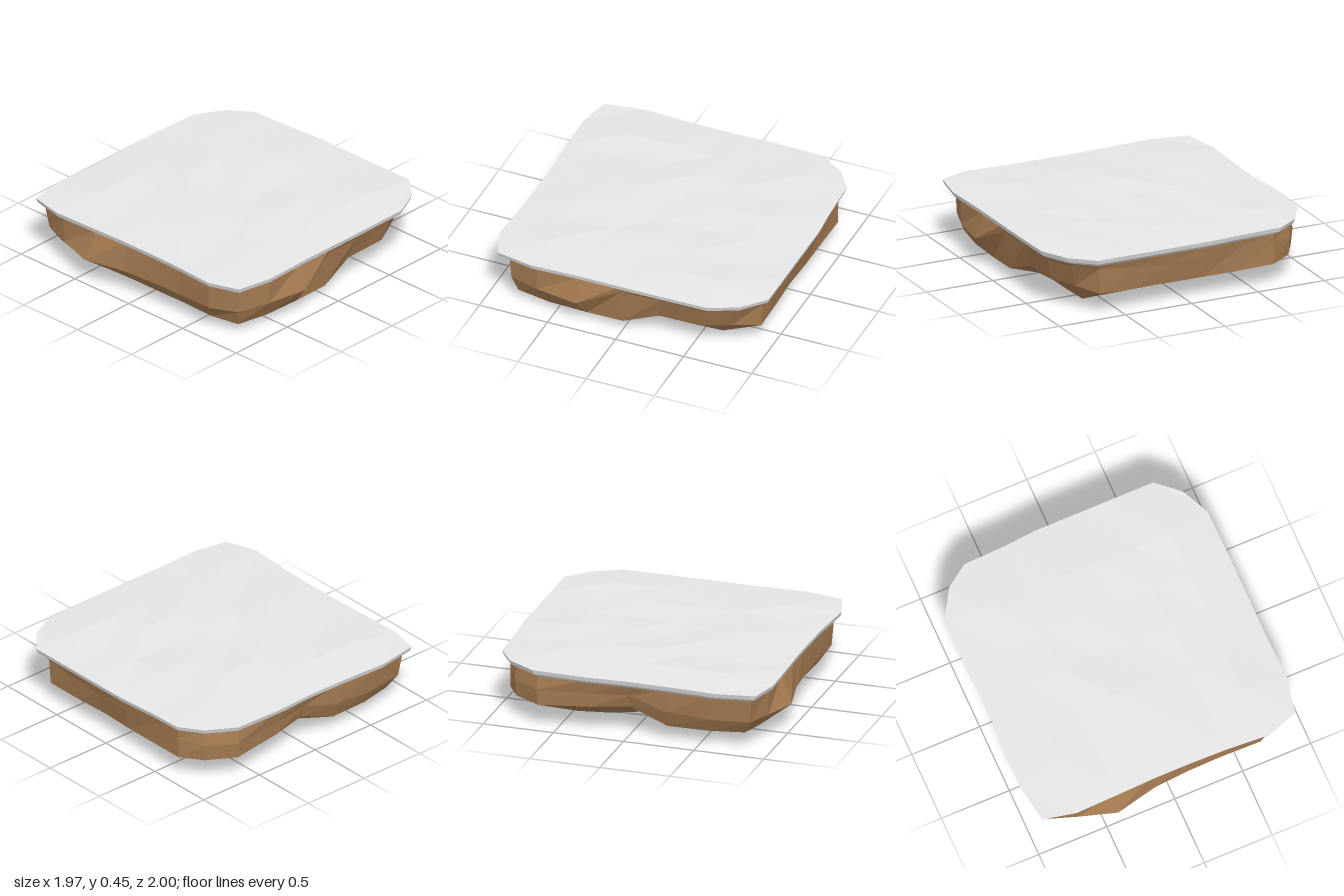
import * as THREE from 'three';

// Plan outline, clockwise from above: back (8), right (5), front (8), left (5)
const OUTLINE = [
  [-0.85, -0.86], [-0.69, -0.97], [-0.4, -0.98], [-0.15, -1], [0.14, -1], [0.42, -1], [0.71, -1], [0.87, -0.86],
  [0.965, -0.66], [0.97, -0.3], [0.97, 0], [0.97, 0.3], [0.98, 0.64],
  [0.93, 0.9], [0.71, 0.975], [0.4, 0.955], [0.14, 0.95], [-0.12, 0.95], [-0.4, 0.96], [-0.71, 0.97], [-0.94, 0.92],
  [-0.985, 0.64], [-0.97, 0.3], [-0.965, 0], [-0.98, -0.3], [-0.97, -0.66],
];
const N = OUTLINE.length, COLS = 8, ROWS = 7;
const XS = [-0.97, -0.66, -0.4, -0.13, 0.14, 0.41, 0.67, 0.97];
const ZS = [-0.98, -0.62, -0.31, 0, 0.3, 0.61, 0.95];

// Ring of points: scale and height may be numbers or one value per outline point
const at = (v, i) => (Array.isArray(v) ? v[i] : v);
const ring = (scale, y) => OUTLINE.map(([x, z], i) => [x * at(scale, i), at(y, i), z * at(scale, i)]);

// Outline index for a border cell of the grid, or -1 inside
function borderIndex(c, r) {
  if (r === 0) return c;
  if (r === ROWS - 1) return 13 + (COLS - 1 - c);
  if (c === COLS - 1) return 7 + r;
  if (c === 0) return 20 + (ROWS - 1 - r);
  return -1;
}

// Grid cap that shares its border with a ring
function cap(out, edge, scale, height, up) {
  const p = (c, r) => {
    const b = borderIndex(c, r);
    return b >= 0 ? edge[b] : [XS[c] * scale, height(c, r), ZS[r] * scale];
  };
  for (let c = 0; c < COLS - 1; c++) {
    for (let r = 0; r < ROWS - 1; r++) {
      const q = [p(c, r), p(c, r + 1), p(c + 1, r + 1), p(c + 1, r)];
      if (!up) q.reverse();
      out.push(...q[0], ...q[1], ...q[2], ...q[0], ...q[2], ...q[3]);
    }
  }
}

// Side walls between successive rings, listed from top to bottom
function walls(out, rings) {
  for (let k = 0; k < rings.length - 1; k++) {
    const u = rings[k], l = rings[k + 1];
    for (let i = 0; i < N; i++) {
      const j = (i + 1) % N;
      out.push(...u[i], ...u[j], ...l[j], ...u[i], ...l[j], ...l[i]);
    }
  }
}

function mesh(name, positions, material) {
  const g = new THREE.BufferGeometry();
  g.setAttribute('position', new THREE.Float32BufferAttribute(positions, 3));
  g.computeVertexNormals();
  const m = new THREE.Mesh(g, material);
  m.name = name;
  return m;
}

export function createModel() {
  const group = new THREE.Group();
  group.name = 'groundTile';
  const stone = new THREE.MeshStandardMaterial({ color: 0xe6e6e6, flatShading: true });
  stone.name = 'pale grey';
  const earth = new THREE.MeshStandardMaterial({ color: 0xa67c52, flatShading: true });
  earth.name = 'earth brown';

  // Gently uneven slab with a tapered rim
  const slab = [];
  const edge = ring(1, 0.422);
  const bump = (c, r) => 0.439 + 0.007 * Math.sin(c * 2.1 + r * 1.3) + (c === 3 && r === 4 ? 0.015 : 0);
  cap(slab, edge, 1, bump, true);
  walls(slab, [edge, ring(0.99, 0.39), ring(0.955, 0.364)]);
  group.add(mesh('topSlab', slab, stone));

  // Rough earth body: chipped corners, bulge at the front, shallow base
  const topScale = OUTLINE.map((_, i) => (i === 13 ? 0.93 : 0.955));
  const midScale = [
    0.97, 0.95, 0.94, 0.94, 0.93, 0.93, 0.93, 0.93,
    0.93, 0.93, 0.94, 1.012, 0.95,
    0.92, 0.94, 0.95, 0.96, 0.98, 1.04, 0.95, 0.93,
    0.93, 0.95, 0.92, 0.93, 0.97,
  ];
  const midY = [
    0.28, 0.3, 0.3, 0.29, 0.28, 0.3, 0.33, 0.335,
    0.335, 0.335, 0.335, 0.2, 0.2,
    0.19, 0.19, 0.18, 0.18, 0.18, 0.18, 0.19, 0.2,
    0.2, 0.22, 0.29, 0.28, 0.27,
  ];
  const lowScale = [
    0.96, 0.95, 0.93, 0.91, 0.9, 0.91, 0.92, 0.87,
    0.88, 0.87, 0.9, 0.89, 0.87,
    0.88, 0.86, 0.87, 0.87, 0.87, 0.87, 0.86, 0.87,
    0.88, 0.9, 0.89, 0.92, 0.96,
  ];
  const lowY = [
    0.16, 0.15, 0.14, 0.14, 0.14, 0.14, 0.15, 0.17,
    0.18, 0.17, 0.07, 0.06, 0.06,
    0.07, 0.075, 0.075, 0.07, 0.07, 0.07, 0.08, 0.1,
    0.1, 0.1, 0.2, 0.18, 0.16,
  ];
  // Base edge: square corners, lifted slightly beside the notch on the left
  const corners = { 0: 0.73, 7: 0.74, 13: 0.71, 20: 0.7 };
  const baseScale = OUTLINE.map(([, z], i) => corners[i] || (z < -0.7 ? 0.63 : 0.675));
  const lift = { 10: -0.02, 23: 0.05, 24: 0.02 };
  const baseY = OUTLINE.map(([x], i) => 0.028 - 0.008 * x + (lift[i] || 0));
  const base = ring(baseScale, baseY);
  const body = [];
  walls(body, [ring(topScale, 0.385), ring(midScale, midY), ring(lowScale, lowY), base]);
  cap(body, base, 0.67, (c, r) => 0.024 - 0.008 * XS[c] + 0.006 * Math.sin(c + r * 2), false);
  group.add(mesh('earthBody', body, earth));

  return group;
}
